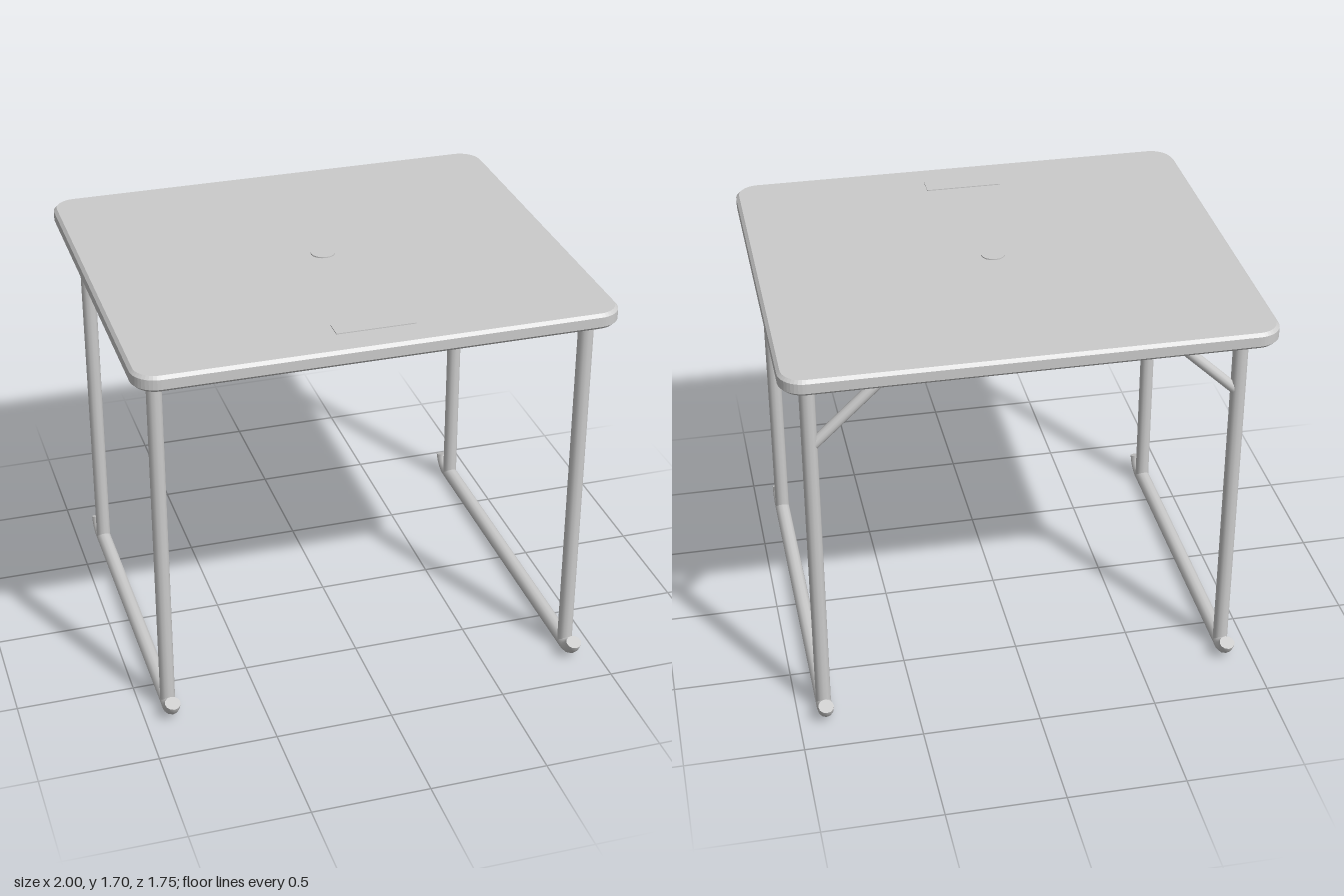
import * as THREE from 'three';

const material = new THREE.MeshStandardMaterial({ color: 0xcccccc });
const TOP = 1.692, LEG_X = 0.886, TUBE_R = 0.033;

function add(parent, name, geometry, x = 0, y = 0, z = 0) {
  const mesh = new THREE.Mesh(geometry, material);
  mesh.name = name;
  mesh.position.set(x, y, z);
  parent.add(mesh);
  return mesh;
}

// Round bar between two points
function bar(parent, name, from, to, radius) {
  const a = new THREE.Vector3(...from), b = new THREE.Vector3(...to);
  const dir = b.clone().sub(a);
  const mesh = add(parent, name, new THREE.CylinderGeometry(radius, radius, dir.length(), 12));
  mesh.position.copy(a).add(b).multiplyScalar(0.5);
  mesh.quaternion.setFromUnitVectors(new THREE.Vector3(0, 1, 0), dir.normalize());
  return mesh;
}

// Rounded rectangle slab with chamfered rims
function tableTopGeometry() {
  const bevel = 0.013, w = 1 - bevel, d = 0.872 - bevel, r = 0.09;
  const shape = new THREE.Shape();
  shape.absarc(w - r, d - r, r, 0, Math.PI / 2);
  shape.absarc(-w + r, d - r, r, Math.PI / 2, Math.PI);
  shape.absarc(-w + r, -d + r, r, Math.PI, Math.PI * 1.5);
  shape.absarc(w - r, -d + r, r, Math.PI * 1.5, Math.PI * 2);
  const geometry = new THREE.ExtrudeGeometry(shape, {
    depth: 0.068 - 2 * bevel, curveSegments: 5,
    bevelEnabled: true, bevelSize: bevel, bevelThickness: bevel, bevelSegments: 1,
  });
  return geometry.rotateX(-Math.PI / 2).translate(0, TOP - 0.068 + bevel, 0);
}

// Upturned runner tip, curving from the ground towards +z
function runnerTip() {
  const tip = new THREE.Group();
  tip.name = 'runnerTip';
  const bend = 0.083, angle = THREE.MathUtils.degToRad(70);
  const curve = new THREE.TorusGeometry(bend, TUBE_R, 12, 7, angle);
  curve.rotateZ(-Math.PI / 2).rotateY(-Math.PI / 2);
  add(tip, 'tipBend', curve, 0, TUBE_R + bend, 0);
  const cap = new THREE.CircleGeometry(TUBE_R, 12).rotateX(-angle);
  add(tip, 'tipCap', cap, 0, TUBE_R + bend * (1 - Math.cos(angle)), bend * Math.sin(angle));
  return tip;
}

// One leg frame: runner, two legs, brackets and a folding brace at the back
function legFrame(side, legZ) {
  const frame = new THREE.Group();
  frame.name = side > 0 ? 'leftLegFrame' : 'rightLegFrame';
  const x = side * LEG_X, runnerEnd = legZ + 0.022;
  bar(frame, 'runner', [x, TUBE_R, -runnerEnd], [x, TUBE_R, runnerEnd], TUBE_R);
  for (const end of [1, -1]) {
    bar(frame, 'leg', [x, TUBE_R, end * legZ], [x, 1.6, end * legZ], 0.032);
    add(frame, 'bracket', new THREE.BoxGeometry(0.067, 0.042, 0.09), x, 1.606, end * legZ);
    const tip = runnerTip();
    tip.position.set(x, 0, end * runnerEnd);
    if (end < 0) tip.rotation.y = Math.PI;
    frame.add(tip);
  }
  bar(frame, 'brace', [side * 0.875, 1.325, -legZ], [side * 0.585, 1.6, -legZ], 0.023);
  return frame;
}

export function createModel() {
  const model = new THREE.Group();
  model.name = 'foldingTable';

  add(model, 'tableTop', tableTopGeometry());
  // Thin raised details on the top
  add(model, 'frontPlate', new THREE.BoxGeometry(0.33, 0.008, 0.08), 0, TOP, 0.69);
  add(model, 'centreDisc', new THREE.CylinderGeometry(0.052, 0.052, 0.01, 16), 0, TOP, 0);

  // The two frames differ in width so they nest when folded
  model.add(legFrame(1, 0.746), legFrame(-1, 0.667));
  return model;
}
